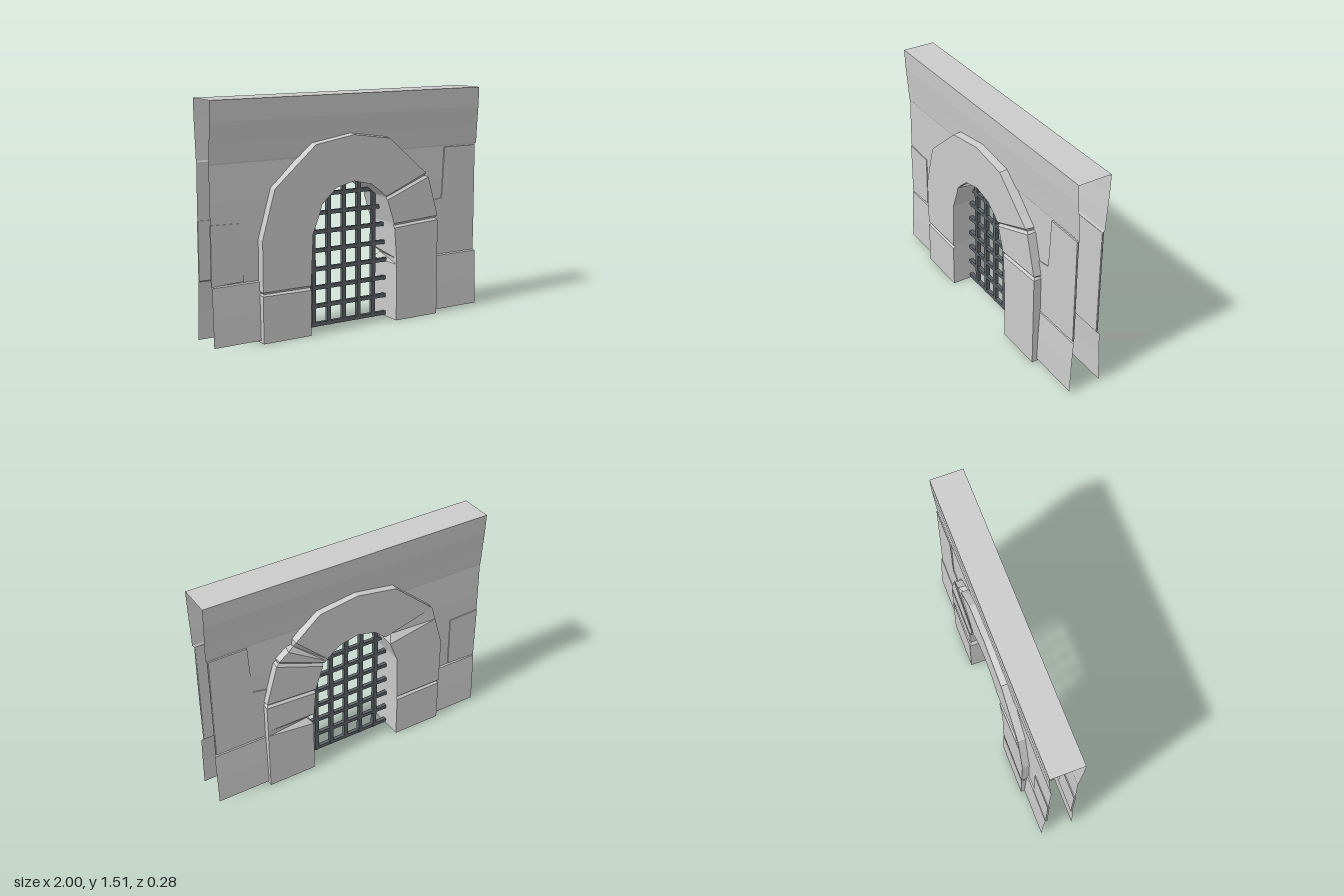
import * as THREE from 'three';

const stone = new THREE.MeshStandardMaterial({ color: 0xcccccc, flatShading: true, side: THREE.DoubleSide });
const iron = new THREE.MeshStandardMaterial({ color: 0x5c6266, flatShading: true });

// Flat-sided surface joining successive cross-sections
function loft(sections, closed, flip) {
  const pos = [];
  const n = sections[0].length;
  for (let s = 0; s + 1 < sections.length; s++) {
    for (let k = 0; k < (closed ? n : n - 1); k++) {
      const j = (k + 1) % n;
      const a = sections[s][k], b = sections[s][j], c = sections[s + 1][j], d = sections[s + 1][k];
      pos.push(...(flip ? [a, d, c, a, c, b] : [a, b, c, a, c, d]).flat());
    }
  }
  const g = new THREE.BufferGeometry();
  g.setAttribute('position', new THREE.Float32BufferAttribute(pos, 3));
  g.computeVertexNormals();
  return g;
}

function add(parent, name, geometry, material) {
  const m = new THREE.Mesh(geometry, material);
  m.name = name;
  parent.add(m);
  return m;
}

// Arch ring: [inner x, inner y, outer x, outer y, kind]
const arch = [
  [-0.34, 0, -0.68, 0], [-0.34, 0.295, -0.68, 0.30],
  [-0.34, 0.31, -0.68, 0.31, 'groove'], [-0.34, 0.325, -0.68, 0.325],
  [-0.325, 0.65, -0.68, 0.65], [-0.27, 0.79, -0.62, 0.86],
  [-0.26, 0.83, -0.59, 0.96, 'chipInner'], [-0.23, 0.86, -0.53, 1.012],
  [-0.15, 0.93, -0.30, 1.21], [-0.02, 0.96, -0.02, 1.255], [0.11, 0.93, 0.25, 1.215],
  [0.19, 0.87, 0.42, 1.07], [0.20, 0.86, 0.45, 1.045, 'chipOuter'], [0.21, 0.85, 0.475, 1.02],
  [0.225, 0.84, 0.54, 0.97], [0.23, 0.83, 0.55, 0.955, 'groove'], [0.235, 0.815, 0.56, 0.94],
  [0.288, 0.655, 0.637, 0.675], [0.29, 0.64, 0.64, 0.66, 'groove'], [0.292, 0.625, 0.64, 0.645],
  [0.305, 0.46, 0.64, 0.46], [0.307, 0.42, 0.64, 0.42, 'chipInner'], [0.309, 0.38, 0.64, 0.38],
  [0.31, 0, 0.64, 0],
];

function archSection([ix, iy, ox, oy, kind]) {
  const d = kind === 'groove' ? 0.014 : 0;
  const len = Math.hypot(ox - ix, oy - iy);
  const ux = (ox - ix) / len, uy = (oy - iy) / len;
  const z = 0.14 - d;
  const ci = kind === 'chipInner' ? 0.035 : 0;
  const co = kind === 'chipOuter' ? 0.03 : 0;
  const ridge = oy > 1.2 ? 0.015 : 0;
  return [
    [ix, iy, z],
    [ox - ux * d, oy - uy * d, z],
    [ox, oy + ridge, 0],
    [ox - ux * (d + co), oy - uy * (d + co), -z + co],
    [ix + ux * ci, iy + uy * ci, -z + ci],
  ];
}

// Wall rows: [y, outer half width on the stepped side, z, half width of the doorway]
const rows = [
  [0.015, 1, 0.105, 0.5], [0.2, 1, 0.1, 0.5], [0.385, 1, 0.09, 0.49], [0.392, 0.99, 0.08, 0.49],
  [0.65, 0.99, 0.083, 0.47], [0.9, 0.99, 0.082, 0.4], [1.125, 0.99, 0.078, 0.03],
  [1.135, 1, 0.083, 0], [1.25, 1, 0.09, 0], [1.38, 1, 0.1, 0], [1.51, 1, 0.105, 0],
];

// Thin facing stone laid on one face of the wall
function slab(points, z0, z1) {
  const shape = new THREE.Shape(points.map(p => new THREE.Vector2(...p)));
  const g = new THREE.ExtrudeGeometry(shape, { depth: z1 - z0, bevelEnabled: false });
  return g.translate(0, 0, z0);
}

// Height of the doorway at x, and its limits at height y
function openingTop(x) {
  for (let i = 1; i < arch.length; i++) {
    const [ax, ay] = arch[i - 1], [bx, by] = arch[i];
    if (bx > ax && x >= ax && x <= bx) return ay + (by - ay) * (x - ax) / (bx - ax);
  }
  return 0.9;
}
function openingSides(y) {
  const xs = [];
  for (let i = 1; i < arch.length; i++) {
    const [ax, ay] = arch[i - 1], [bx, by] = arch[i];
    if ((ay - y) * (by - y) <= 0 && ay !== by) xs.push(ax + (bx - ax) * (y - ay) / (by - ay));
  }
  return [Math.min(...xs), Math.max(...xs)];
}

export function createModel() {
  const model = new THREE.Group();
  model.name = 'gateway';

  // Stone arch, open underneath
  add(model, 'arch', loft(arch.map(archSection), true, true), stone);

  // Two wall skins with open ends, front and back
  for (const face of [1, -1]) {
    const label = face > 0 ? 'front' : 'back';
    const depth = z => (face > 0 ? z : -z - 0.01);
    const skin = side => rows.map(([y, w, z, hole]) => {
      const outer = [side * (side > 0 ? w : 1), y, depth(z)];
      const inner = [-0.02 + side * hole, y, depth(z)];
      return side > 0 ? [inner, outer] : [outer, inner];
    });
    add(model, label + 'WallRight', loft(skin(-1), false, face < 0), stone);
    add(model, label + 'WallLeft', loft(skin(1), false, face < 0), stone);

    // Facing stones on each side of the arch
    const zs = [depth(0.076), depth(0.088)].sort((a, b) => a - b);
    add(model, label + 'SmallStone',
      slab([[-1, 0.392], [-0.785, 0.4], [-0.78, 0.76], [-1, 0.768]], ...zs), stone);
    add(model, label + 'LargeStone',
      slab([[0.6, 0.395], [0.985, 0.395], [0.985, 1.12], [0.73, 1.12], [0.71, 0.78], [0.6, 0.76]], ...zs), stone);
  }

  // Wall top
  const cap = loft([
    [[-1, 1.51, 0.105], [1, 1.51, 0.105]],
    [[-1, 1.51, -0.115], [1, 1.51, -0.115]],
  ], false, false);
  add(model, 'wallTop', cap, stone);

  // Iron grille
  const grille = new THREE.Group();
  grille.name = 'grille';
  model.add(grille);
  for (let i = 0; i < 5; i++) {
    const x = -0.245 + i * 0.1145;
    const h = openingTop(x) + 0.01;
    add(grille, 'uprightBar', new THREE.BoxGeometry(0.027, h - 0.01, 0.027), iron)
      .position.set(x, (h + 0.01) / 2, 0);
  }
  for (let i = 0; i < 8; i++) {
    const y = 0.023 + i * 0.1215;
    const [a, b] = openingSides(y);
    add(grille, 'crossBar', new THREE.BoxGeometry(b - a + 0.02, 0.025, 0.025), iron)
      .position.set((a + b) / 2, y, 0);
  }
  return model;
}
